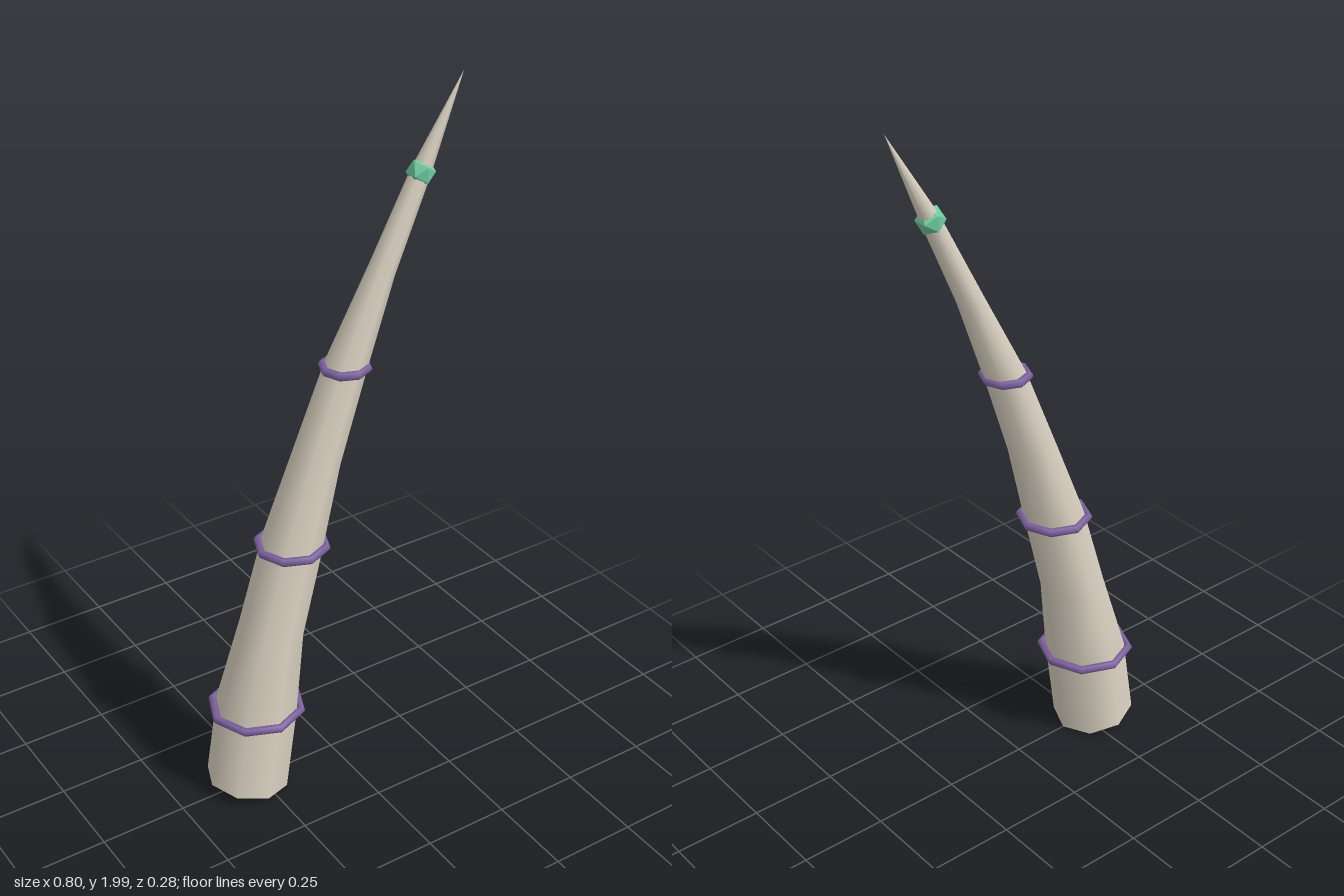
import * as THREE from 'three';

const paint = (name, color) => {
  const m = new THREE.MeshStandardMaterial({ color });
  m.name = name;
  return m;
};

// Horn sections from base to tip: centre x, centre y, radius, lean from vertical
const SECTIONS = [
  [-0.287, 0.025, 0.118, 0.17],
  [-0.25, 0.27, 0.116, 0.18],
  [-0.195, 0.52, 0.091, 0.25],
  [-0.125, 0.77, 0.085, 0.29],
  [-0.045, 1.015, 0.067, 0.33],
  [0.046, 1.26, 0.057, 0.38],
  [0.157, 1.51, 0.037, 0.43],
  [0.274, 1.755, 0.027, 0.46],
  [0.4, 2, 0, 0.48],
];

// Bend and taper an eight-sided cylinder along the sections
function hornGeometry() {
  const last = SECTIONS.length - 1;
  const g = new THREE.CylinderGeometry(1, 1, 1, 8, last);
  const pos = g.attributes.position, nor = g.attributes.normal;
  const axis = new THREE.Vector3(0, 0, 1);
  const p = new THREE.Vector3(), n = new THREE.Vector3();
  for (let i = 0; i < pos.count; i++) {
    p.fromBufferAttribute(pos, i);
    const [x, y, r, lean] = SECTIONS[Math.round((p.y + 0.5) * last)];
    p.set(p.x * r, 0, p.z * r).applyAxisAngle(axis, -lean);
    pos.setXYZ(i, p.x + x, p.y + y, p.z);
    n.fromBufferAttribute(nor, i);
    if (Math.abs(n.y) < 0.5) n.y = 0.08; // taper of the sides
    n.normalize().applyAxisAngle(axis, -lean);
    nor.setXYZ(i, n.x, n.y, n.z);
  }
  return g;
}

export function createModel() {
  const group = new THREE.Group();
  group.name = 'horn';
  const bone = paint('bone', 0xd8d0c0);
  const purple = paint('purple', 0x7e62a0);
  const green = paint('green', 0x6fcba0);

  const add = (name, geometry, material, x = 0, y = 0) => {
    const mesh = new THREE.Mesh(geometry, material);
    mesh.name = name;
    mesh.position.set(x, y, 0);
    group.add(mesh);
    return mesh;
  };

  add('hornBody', hornGeometry(), bone);

  // Level bands around the horn: x, y, ring radius, thickness
  [
    [-0.25, 0.27, 0.128, 0.012],
    [-0.126, 0.768, 0.095, 0.012],
    [0.045, 1.263, 0.061, 0.012],
  ].forEach(([x, y, r, t], i) => {
    const g = new THREE.TorusGeometry(r, t, 6, 8).rotateX(Math.PI / 2);
    add('band' + (i + 1), g, purple, x, y);
  });

  // Faceted gem below the tip
  add('gem', new THREE.IcosahedronGeometry(0.039, 0), green, 0.274, 1.755);

  return group;
}
